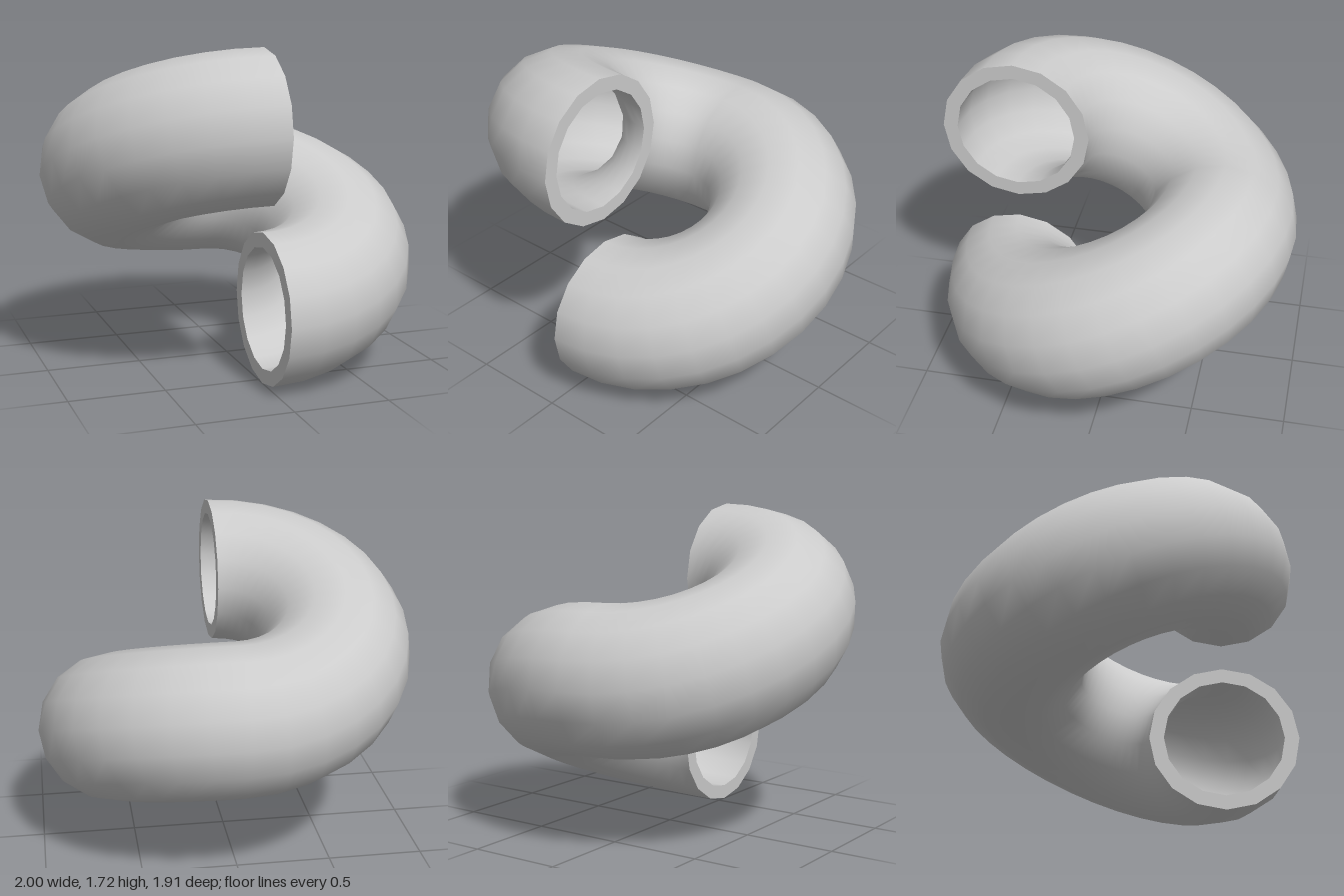
import * as THREE from 'three';

const BEND = 0.605;          // radius of the tube's centre line
const OUTER = 0.395, INNER = 0.318;
const TILT = Math.PI / 8;
const RISE = BEND * Math.sin(TILT);
const SIDES = 16;

// Half a torus lying flat, from the front through +x to the back, then tilted up towards the back
function halfTorus(radius, inward) {
  const g = new THREE.TorusGeometry(BEND, radius, SIDES, 16, Math.PI);
  g.applyMatrix4(new THREE.Matrix4().makeBasis(
    new THREE.Vector3(0, 0, 1), new THREE.Vector3(1, 0, 0), new THREE.Vector3(0, 1, 0)));
  g.rotateX(TILT);
  if (inward) {
    const idx = g.index, n = g.attributes.normal;
    for (let i = 0; i < idx.count; i += 3) {
      const a = idx.getX(i);
      idx.setX(i, idx.getX(i + 1));
      idx.setX(i + 1, a);
    }
    for (let i = 0; i < n.count; i++) n.setXYZ(i, -n.getX(i), -n.getY(i), -n.getZ(i));
  }
  return g;
}

export function createModel() {
  const model = new THREE.Group();
  model.name = 'coiledPipe';
  const material = new THREE.MeshStandardMaterial({ color: 0xcccccc });
  const add = (parent, name, geometry) => {
    const mesh = new THREE.Mesh(geometry, material);
    mesh.name = name;
    parent.add(mesh);
  };

  // Each half: outer wall, inner wall and the flat rim at its open front end
  const makeHalf = (name) => {
    const half = new THREE.Group();
    half.name = name;
    add(half, 'outerWall', halfTorus(OUTER, false));
    add(half, 'innerWall', halfTorus(INNER, true));
    const rim = new THREE.RingGeometry(INNER, OUTER, SIDES, 1);
    rim.rotateY(-Math.PI / 2);
    rim.translate(0, -RISE, BEND * Math.cos(TILT));
    add(half, 'endRim', rim);
    model.add(half);
    return half;
  };

  makeHalf('lowerBend').position.y = OUTER + RISE;

  // The upper bend is the lower one turned half a turn about the front axis
  const upper = makeHalf('upperBend');
  upper.rotation.z = Math.PI;
  upper.position.y = OUTER + 3 * RISE;

  return model;
}
